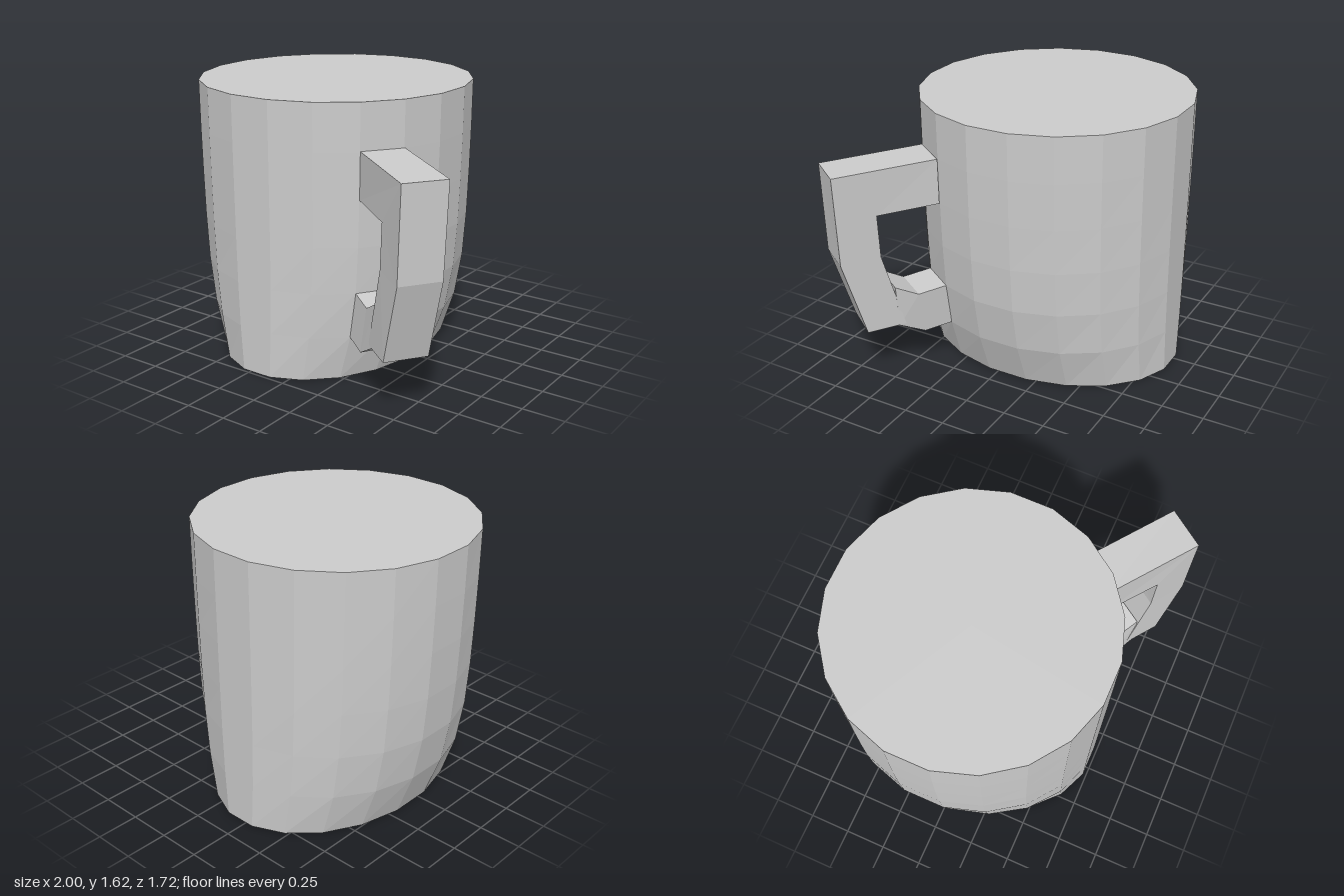
import * as THREE from 'three';

const HEIGHT = 1.615, RADIUS = 0.805, SIDES = 20, CX = -0.204, CZ = -0.065;
// sideways scale of the body at each ring, bottom to top
const TAPER = [0.752, 0.88, 0.945, 0.973, 0.987, 0.996, 1];
const HANDLE_DEPTH = -0.205;

function makeFlat(geometry) {
  const flat = geometry.index ? geometry.toNonIndexed() : geometry;
  flat.computeVertexNormals();
  return flat;
}

// Solid faceted body, narrowing toward the base along x only
function bodyGeometry() {
  const rings = TAPER.length - 1;
  const g = new THREE.CylinderGeometry(RADIUS, RADIUS, HEIGHT, SIDES, rings, false, Math.PI / SIDES);
  g.translate(0, HEIGHT / 2, 0);
  const p = g.attributes.position;
  for (let i = 0; i < p.count; i++) {
    const ring = Math.round((p.getY(i) / HEIGHT) * rings);
    p.setX(i, p.getX(i) * TAPER[ring]);
  }
  g.translate(CX, 0, CZ);
  return makeFlat(g);
}

// Four-sided bar through sections of [outer x, y, z, outer width, inner x, y, z, inner width]
function barGeometry(sections) {
  const pos = [], index = [];
  for (const [ox, oy, oz, ow, ix, iy, iz, iw] of sections) {
    pos.push(ox, oy, oz, ox + ow, oy, oz + HANDLE_DEPTH);
    pos.push(ix + iw, iy, iz + HANDLE_DEPTH, ix, iy, iz);
  }
  const last = (sections.length - 1) * 4;
  for (let s = 0; s < last; s += 4) {
    for (let k = 0; k < 4; k++) {
      const a = s + k, b = s + ((k + 1) % 4);
      index.push(a, a + 4, b + 4, a, b + 4, b);
    }
  }
  index.push(0, 1, 2, 0, 2, 3);
  index.push(last, last + 2, last + 1, last, last + 3, last + 2);
  const g = new THREE.BufferGeometry();
  g.setAttribute('position', new THREE.Float32BufferAttribute(pos, 3));
  g.setIndex(index);
  return makeFlat(g);
}

export function createModel() {
  const model = new THREE.Group();
  model.name = 'mug';

  const clay = new THREE.MeshStandardMaterial({ color: 0xcccccc, flatShading: true });
  clay.name = 'light grey';

  const add = (name, geometry, parent) => {
    const mesh = new THREE.Mesh(geometry, clay);
    mesh.name = name;
    parent.add(mesh);
  };

  add('body', bodyGeometry(), model);

  const handle = new THREE.Group();
  handle.name = 'handle';
  model.add(handle);

  // Upper arm and long downward grip
  add('handleGrip', barGeometry([
    [0.365, 1.35, 0.505, 0.15, 0.36, 1.08, 0.505, 0.15],
    [0.85, 1.335, 0.86, 0.15, 0.65, 1.07, 0.725, 0.15],
    [0.832, 0.8, 0.86, 0.145, 0.64, 0.81, 0.725, 0.145],
    [0.71, 0.335, 0.795, 0.15, 0.525, 0.34, 0.66, 0.145],
  ]), handle);

  // Short lower arm joining the grip to the body
  add('handleLowerArm', barGeometry([
    [0.335, 0.54, 0.505, 0.14, 0.295, 0.27, 0.505, 0.13],
    [0.475, 0.52, 0.605, 0.135, 0.435, 0.25, 0.605, 0.125],
    [0.585, 0.595, 0.685, 0.14, 0.56, 0.335, 0.685, 0.14],
  ]), handle);

  return model;
}
